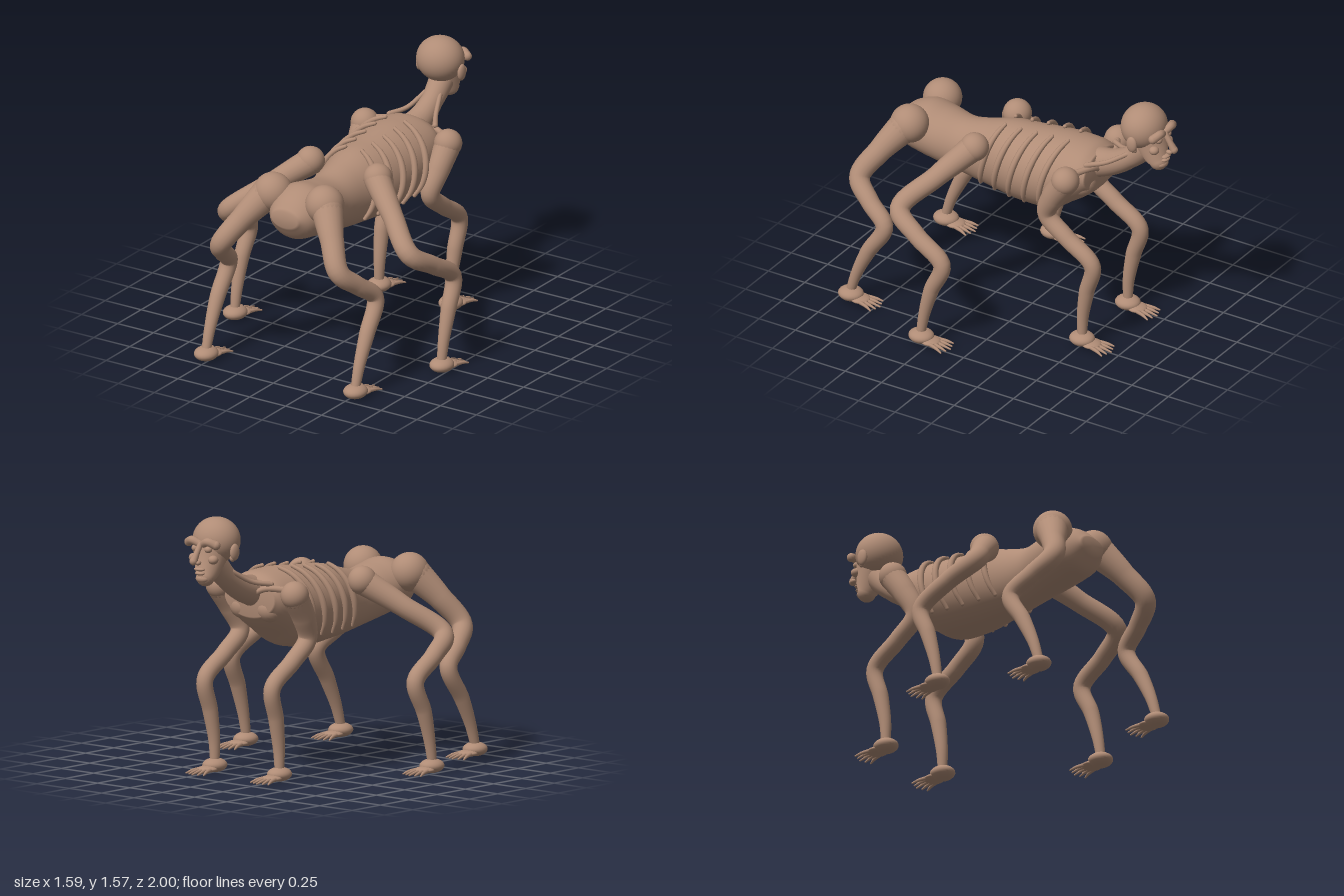
import * as THREE from 'three';

const skin = new THREE.MeshStandardMaterial({ color: 0xb08c76 });
skin.name = 'skin';
const V = (p) => new THREE.Vector3(p[0], p[1], p[2]);

function add(group, name, geometry) {
  const mesh = new THREE.Mesh(geometry, skin);
  mesh.name = name;
  group.add(mesh);
  return mesh;
}

// ellipsoid at a point
function blob(group, name, pos, radii, seg = 24) {
  const mesh = add(group, name, new THREE.SphereGeometry(1, seg, Math.round(seg * 0.7)));
  mesh.position.set(...pos);
  mesh.scale.set(...radii);
  return mesh;
}

// tube through points [x, y, z, radius] with changing radius and round ends
function limb(group, name, points, rings = 40, sides = 16) {
  const curve = new THREE.CatmullRomCurve3(points.map(V));
  const geo = new THREE.TubeGeometry(curve, rings, 1, sides);
  const pos = geo.attributes.position;
  const p = new THREE.Vector3();
  for (let i = 0; i <= rings; i++) {
    const u = i / rings;
    const c = curve.getPointAt(u);
    const t = curve.getUtoTmapping(u) * (points.length - 1);
    const k = Math.min(Math.floor(t), points.length - 2);
    const r = THREE.MathUtils.lerp(points[k][3], points[k + 1][3], t - k);
    for (let j = 0; j <= sides; j++) {
      const n = i * (sides + 1) + j;
      p.fromBufferAttribute(pos, n).sub(c).multiplyScalar(r).add(c);
      pos.setXYZ(n, p.x, p.y, p.z);
    }
  }
  add(group, name, geo);
  for (const e of [points[0], points[points.length - 1]]) {
    blob(group, name + 'End', e.slice(0, 3), [e[3], e[3], e[3]], sides);
  }
}

// torso outline from rump to chest: z, bottom, top, half width
const OUTLINE = [
  [0.885, 0.95, 1.05, 0.09], [0.81, 0.86, 1.12, 0.15], [0.7, 0.835, 1.16, 0.185],
  [0.58, 0.81, 1.14, 0.18], [0.44, 0.78, 1.12, 0.16], [0.3, 0.755, 1.15, 0.17],
  [0.15, 0.74, 1.19, 0.205], [0, 0.73, 1.2, 0.235], [-0.2, 0.745, 1.22, 0.25],
  [-0.32, 0.82, 1.22, 0.24], [-0.42, 0.89, 1.21, 0.22], [-0.48, 0.95, 1.18, 0.19],
];
const outlineCurve = new THREE.CatmullRomCurve3(OUTLINE.map(V), false, 'catmullrom', 0.5);
const widthCurve = new THREE.CatmullRomCurve3(
  OUTLINE.map((o) => new THREE.Vector3(o[3], 0, 0)), false, 'catmullrom', 0.5);

function torsoGeometry(rings = 60, sides = 40) {
  const verts = [], index = [];
  for (let i = 0; i <= rings; i++) {
    const o = outlineCurve.getPoint(i / rings), w = widthCurve.getPoint(i / rings).x;
    for (let j = 0; j < sides; j++) {
      const a = (j / sides) * Math.PI * 2;
      verts.push(Math.cos(a) * w, (o.y + o.z) / 2 + Math.sin(a) * (o.z - o.y) / 2, o.x);
      if (i < rings) {
        const n = (j + 1) % sides, p = i * sides, q = p + sides;
        index.push(p + j, q + j, p + n, p + n, q + j, q + n);
      }
    }
  }
  // end caps
  const last = rings * sides, c = verts.length / 3;
  verts.push(0, 1, 0.885, 0, 1.07, -0.49);
  for (let j = 0; j < sides; j++) {
    const n = (j + 1) % sides;
    index.push(c, j, n, c + 1, last + n, last + j);
  }
  const geo = new THREE.BufferGeometry();
  geo.setAttribute('position', new THREE.Float32BufferAttribute(verts, 3));
  geo.setIndex(index);
  geo.computeVertexNormals();
  return geo;
}

// point on the torso at depth z and angle a above the side
function torsoPoint(z, a, out) {
  let k = 0;
  while (k < OUTLINE.length - 2 && OUTLINE[k + 1][0] > z) k++;
  const A = OUTLINE[k], B = OUTLINE[k + 1], t = (A[0] - z) / (A[0] - B[0]);
  const mix = (i) => THREE.MathUtils.lerp(A[i], B[i], t);
  return [Math.cos(a) * (mix(3) + out), (mix(1) + mix(2)) / 2 + Math.sin(a) * ((mix(2) - mix(1)) / 2 + out), z];
}

// foot with heel, palm and five toes pointing to -z
function foot(group, x, z) {
  const f = new THREE.Group();
  f.name = 'foot';
  f.position.set(x, 0, z);
  group.add(f);
  blob(f, 'heel', [0, 0.053, 0], [0.07, 0.042, 0.078]);
  blob(f, 'palm', [0, 0.036, -0.065], [0.06, 0.02, 0.06]);
  for (let i = -2; i <= 2; i++) {
    const len = 0.2 - Math.abs(i) * 0.012;
    limb(f, 'toe', [
      [i * 0.02, 0.036, -0.08, 0.013], [i * 0.028, 0.03, -0.14, 0.01], [i * 0.034, 0.019, -len, 0.005],
    ], 8, 8);
  }
}

// legs on the +x side: shoulder ball first, then joints down to the ankle
const LEGS = {
  frontLeg: { ball: [0.29, 1.1, -0.41, 0.083], foot: [0.25, -0.5], path: [
    [0.29, 1.08, -0.4, 0.078], [0.28, 0.96, -0.32, 0.07], [0.26, 0.82, -0.265, 0.055], [0.26, 0.7, -0.4, 0.052],
    [0.26, 0.565, -0.575, 0.05], [0.255, 0.38, -0.535, 0.046], [0.25, 0.2, -0.505, 0.035], [0.25, 0.06, -0.5, 0.027]] },
  middleLeg: { ball: [0.235, 1.1, 0.25, 0.085], foot: [0.72, 0.31], path: [
    [0.24, 1.09, 0.26, 0.08], [0.43, 0.95, 0.39, 0.062], [0.63, 0.795, 0.515, 0.06], [0.69, 0.69, 0.36, 0.054],
    [0.71, 0.56, 0.175, 0.052], [0.72, 0.38, 0.24, 0.046], [0.72, 0.2, 0.29, 0.034], [0.72, 0.06, 0.315, 0.027]] },
  rearLeg: { ball: [0.18, 1.085, 0.73, 0.115], foot: [0.52, 0.92], path: [
    [0.21, 1.07, 0.75, 0.095], [0.31, 0.93, 0.85, 0.07], [0.41, 0.775, 0.93, 0.062], [0.47, 0.67, 0.82, 0.055],
    [0.51, 0.56, 0.695, 0.052], [0.52, 0.37, 0.8, 0.046], [0.52, 0.2, 0.88, 0.034], [0.52, 0.06, 0.925, 0.027]] },
};

export function createModel() {
  const model = new THREE.Group();
  model.name = 'sixLeggedCreature';
  add(model, 'torso', torsoGeometry());

  for (const s of [1, -1]) {
    // legs
    for (const [name, leg] of Object.entries(LEGS)) {
      const g = new THREE.Group();
      g.name = name;
      model.add(g);
      const [x, y, z, r] = leg.ball;
      blob(g, 'joint', [s * x, y, z], [r, r, r], 32);
      limb(g, name, leg.path.map((p) => [s * p[0], p[1], p[2], p[3]]), 60, 20);
      foot(g, s * leg.foot[0], leg.foot[1]);
    }

    // ribs lean back as they run down the flank
    for (let i = 0; i < 5; i++) {
      const top = 0.15 - i * 0.11;
      const pts = [];
      for (let j = 0; j <= 7; j++) {
        const t = j / 7;
        const p = torsoPoint(top + t * 0.11, 1.3 - t * 1.95, 0.012);
        pts.push([s * p[0], p[1], p[2], 0.012 + 0.008 * Math.sin(t * Math.PI)]);
      }
      limb(model, 'rib', pts, 28, 10);
    }

    // chest muscle, collarbone and neck tendon
    blob(model, 'chestMuscle', [s * 0.1, 1.0, -0.41], [0.09, 0.08, 0.08]);
    limb(model, 'collarbone', [[s * 0.03, 1.08, -0.5, 0.016], [s * 0.13, 1.13, -0.49, 0.018], [s * 0.25, 1.13, -0.43, 0.02]], 16, 10);
    limb(model, 'neckTendon', [[s * 0.16, 1.16, -0.47, 0.016], [s * 0.1, 1.18, -0.57, 0.014], [s * 0.05, 1.25, -0.69, 0.014]], 16, 10);

    // paired features of the head
    blob(model, 'ear', [s * 0.145, 1.385, -0.775], [0.02, 0.05, 0.035]);
    blob(model, 'earLobe', [s * 0.137, 1.35, -0.785], [0.015, 0.022, 0.02]);
    limb(model, 'brow', [[s * 0.015, 1.435, -0.905, 0.022], [s * 0.06, 1.452, -0.915, 0.025], [s * 0.105, 1.435, -0.895, 0.027]], 12, 12);
    blob(model, 'eye', [s * 0.05, 1.405, -0.9], [0.024, 0.02, 0.022]);
    blob(model, 'cheek', [s * 0.075, 1.345, -0.885], [0.03, 0.026, 0.03]);
    blob(model, 'nostril', [s * 0.02, 1.33, -0.955], [0.016, 0.014, 0.02]);
  }

  // neck
  limb(model, 'neck', [[0, 1.1, -0.44, 0.095], [0, 1.135, -0.56, 0.077], [0, 1.205, -0.68, 0.065], [0, 1.31, -0.79, 0.075]], 30, 24);

  // head
  blob(model, 'cranium', [0, 1.443, -0.77], [0.145, 0.135, 0.135], 40);
  limb(model, 'face', [[0, 1.42, -0.805, 0.105], [0, 1.33, -0.83, 0.093], [0, 1.25, -0.86, 0.065], [0, 1.235, -0.868, 0.055]], 24, 24);
  blob(model, 'chin', [0, 1.228, -0.895], [0.045, 0.026, 0.032]);
  limb(model, 'nose', [[0, 1.43, -0.915, 0.017], [0, 1.385, -0.945, 0.018], [0, 1.34, -0.974, 0.024]], 14, 12);
  blob(model, 'upperLip', [0, 1.287, -0.92], [0.038, 0.012, 0.025]);
  blob(model, 'lowerLip', [0, 1.262, -0.917], [0.034, 0.012, 0.022]);

  return model;
}
